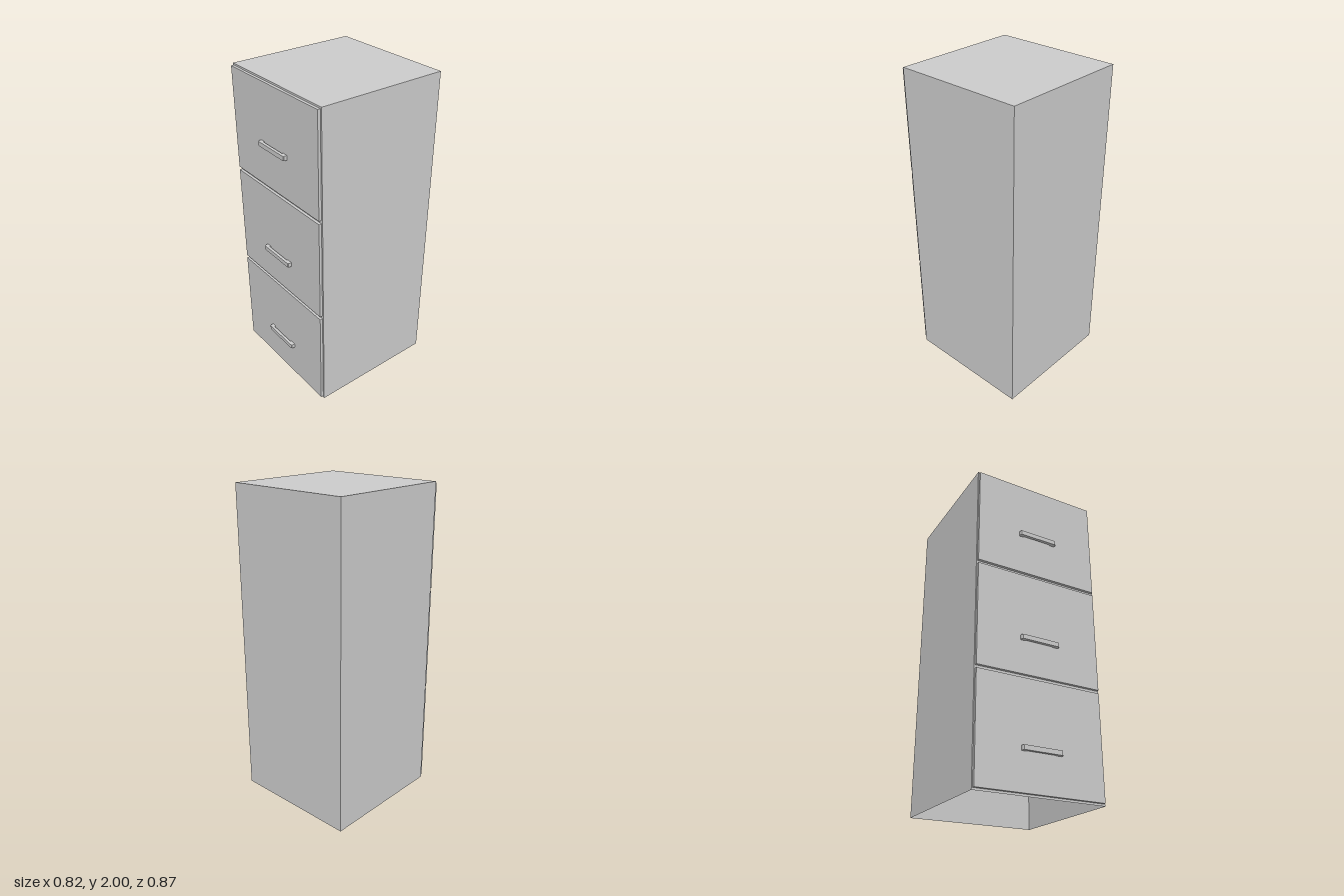
import * as THREE from 'three';

const material = new THREE.MeshStandardMaterial({ color: 0xcccccc, side: THREE.DoubleSide, flatShading: true });

const BODY = { w: 0.824, h: 2, back: -0.433, front: 0.39 };
const DRAWER = { x0: -0.406, x1: 0.402, front: 0.407 };
const HANDLE = { x0: -0.13, x1: 0.122, front: 0.432, foot: 0.03, h: 0.028 };
const FACE = { px: 0, nx: 1, py: 2, ny: 3, pz: 4, nz: 5 };

function mesh(name, geometry) {
  const m = new THREE.Mesh(geometry, material);
  m.name = name;
  return m;
}

// Thin-walled box between two corners, leaving out the listed faces
function openBox([x0, y0, z0], [x1, y1, z1], omitted) {
  const g = new THREE.BoxGeometry(x1 - x0, y1 - y0, z1 - z0);
  const index = Array.from(g.index.array).filter((_, i) => !omitted.includes(Math.floor(i / 6)));
  g.setIndex(index);
  g.clearGroups();
  return g.translate((x0 + x1) / 2, (y0 + y1) / 2, (z0 + z1) / 2);
}

function rect(Type, x0, y0, x1, y1) {
  const p = new Type();
  p.moveTo(x0, y0);
  p.lineTo(x1, y0);
  p.lineTo(x1, y1);
  p.lineTo(x0, y1);
  p.closePath();
  return p;
}

// Flat sheet facing +z with rectangular openings
function sheet(x0, y0, x1, y1, z, openings) {
  const s = rect(THREE.Shape, x0, y0, x1, y1);
  for (const o of openings) s.holes.push(rect(THREE.Path, ...o));
  return new THREE.ShapeGeometry(s).translate(0, 0, z);
}

// Bar pull: plan outline with rounded outer corners, extruded upward
function handleGeometry(y) {
  const { x0, x1, front, foot, h } = HANDLE;
  const back = DRAWER.front, slot = 0.414, r = 0.012;
  const s = new THREE.Shape();
  s.moveTo(x0, -back);
  s.lineTo(x0 + foot, -back);
  s.lineTo(x0 + foot, -slot);
  s.lineTo(x1 - foot - 0.007, -slot);
  s.lineTo(x1 - foot - 0.007, -back);
  s.lineTo(x1, -back);
  s.lineTo(x1, -front + r);
  s.quadraticCurveTo(x1, -front, x1 - r, -front);
  s.lineTo(x0 + r, -front);
  s.quadraticCurveTo(x0, -front, x0, -front + r);
  s.closePath();
  const g = new THREE.ExtrudeGeometry(s, { depth: h, bevelEnabled: false, curveSegments: 3 });
  return g.rotateX(-Math.PI / 2).translate(0, y - h / 2, 0);
}

export function createModel() {
  const group = new THREE.Group();
  group.name = 'filingCabinet';
  const { x0, x1 } = DRAWER;
  const hw = BODY.w / 2;

  // bottom, top and handle height of each drawer
  const drawers = [
    { name: 'bottom', y0: 0.013, y1: 0.661, pull: 0.252 },
    { name: 'middle', y0: 0.682, y1: 1.328, pull: 0.905 },
    { name: 'top', y0: 1.349, y1: 1.989, pull: 1.618 },
  ];

  // Casing, open underneath, with a front frame around the drawers
  group.add(mesh('casing', openBox([-hw, 0, BODY.back], [hw, BODY.h, BODY.front], [FACE.ny, FACE.pz])));
  group.add(mesh('frontFrame', sheet(-hw, 0, hw, BODY.h, BODY.front,
    drawers.map(d => [x0, d.y0, x1, d.y1]))));

  // Hollow drawer fronts with pulls
  for (const { name, y0, y1, pull } of drawers) {
    const drawer = new THREE.Group();
    drawer.name = name + 'Drawer';
    const lo = pull - HANDLE.h / 2, hi = pull + HANDLE.h / 2;
    const feet = [
      [HANDLE.x0, lo, HANDLE.x0 + HANDLE.foot, hi],
      [HANDLE.x1 - HANDLE.foot - 0.007, lo, HANDLE.x1, hi],
    ];
    drawer.add(mesh('drawerFront', sheet(x0, y0, x1, y1, DRAWER.front, feet)));
    drawer.add(mesh('drawerEdge', openBox([x0, y0, BODY.front], [x1, y1, DRAWER.front], [FACE.pz, FACE.nz])));
    drawer.add(mesh('handle', handleGeometry(pull)));
    group.add(drawer);
  }
  return group;
}
